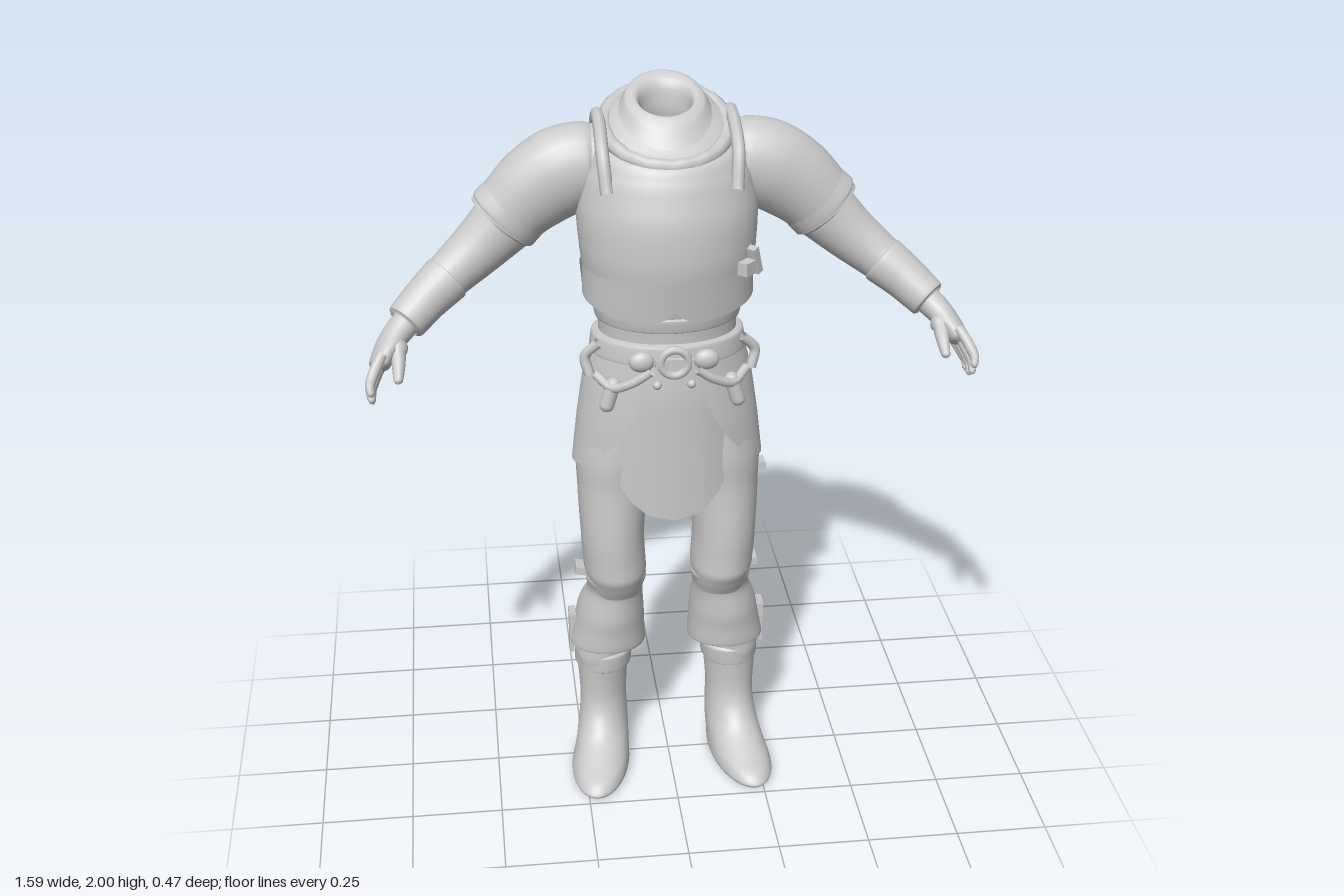
import * as THREE from 'three';

const V3 = (x, y, z) => new THREE.Vector3(x, y, z);
const lerpTable = (table, x) => {
  for (let i = 1; i < table.length; i++) {
    const [x0, a] = table[i - 1], [x1, b] = table[i];
    if (x <= x1) return a + (b - a) * Math.max(0, (x - x0) / (x1 - x0));
  }
  return table[table.length - 1][1];
};

export function createModel() {
  const model = new THREE.Group();
  const plate = new THREE.MeshStandardMaterial({ color: 0xcacaca, side: THREE.DoubleSide });
  plate.name = 'paleGrey';

  function add(name, geo, mirrored = false) {
    const mesh = new THREE.Mesh(geo, plate);
    mesh.name = mirrored ? name + 'Left' : name;
    model.add(mesh);
    if (!mirrored) return;
    const other = geo.clone().scale(-1, 1, 1);
    const idx = other.index.array;
    for (let i = 0; i < idx.length; i += 3) [idx[i], idx[i + 1]] = [idx[i + 1], idx[i]];
    const twin = new THREE.Mesh(other, plate);
    twin.name = name + 'Right';
    model.add(twin);
  }

  // Grid of points, rows x cols, optionally closed around
  function grid(rows, cols, closed, point) {
    const pos = [], idx = [], w = closed ? cols : cols + 1;
    for (let i = 0; i <= rows; i++)
      for (let j = 0; j < w; j++) pos.push(...point(i / rows, j / cols).toArray());
    for (let i = 0; i < rows; i++)
      for (let j = 0; j < cols; j++) {
        const a = i * w + j, b = i * w + (j + 1) % w;
        idx.push(a, b, a + w, b, b + w, a + w);
      }
    const g = new THREE.BufferGeometry();
    g.setAttribute('position', new THREE.Float32BufferAttribute(pos, 3));
    g.setIndex(idx);
    g.computeVertexNormals();
    return g;
  }

  // Level rings from bottom to top: [y, xc, zc, rx, rz, tilt]
  function stack(rings, splay = 0, n = 40) {
    const mid = new THREE.CatmullRomCurve3(rings.map(r => V3(r[1], r[0], r[2])));
    const size = new THREE.CatmullRomCurve3(rings.map(r => V3(r[3], r[4], r[5] || 0)));
    return grid((rings.length - 1) * 5, n, true, (t, s) => {
      const c = mid.getPoint(t), r = size.getPoint(t), a = s * Math.PI * 2;
      const dz = Math.cos(a) * r.y;
      return V3(c.x + Math.sin(a) * r.x + splay * (c.z + dz), c.y + dz * r.z, c.z + dz);
    });
  }

  // Round limb along a path: [x, y, z, radius, front radius]
  function limb(pts, n = 24) {
    const mid = new THREE.CatmullRomCurve3(pts.map(p => V3(p[0], p[1], p[2])));
    const size = new THREE.CatmullRomCurve3(pts.map(p => V3(p[3], p[4] ?? p[3], 0)));
    return grid((pts.length - 1) * 5, n, true, (t, s) => {
      const c = mid.getPoint(t), r = size.getPoint(t), T = mid.getTangent(t), a = s * Math.PI * 2;
      const v = V3(0, 0, 1).addScaledVector(T, -T.z).normalize();
      const u = T.clone().cross(v);
      return c.addScaledVector(u, Math.sin(a) * r.x).addScaledVector(v, Math.cos(a) * r.y);
    });
  }

  // Curved hanging cloth or plate; angle 0 is the front
  const sheet = (a0, a1, top, bottom, rx, rz, zc = -0.025) => grid(14, 28, false, (t, s) => {
    const a = a0 + (a1 - a0) * s, low = lerpTable(bottom, a), y = low + (top - low) * t;
    return V3(Math.sin(a) * lerpTable(rx, y), y, zc + Math.cos(a) * lerpTable(rz, y));
  });
  const box = (w, h, d, x, y, z, ry = 0, rz = 0) =>
    new THREE.BoxGeometry(w, h, d).rotateZ(rz).rotateY(ry).translate(x, y, z);
  const tube = (pts, r, closed = false) =>
    new THREE.TubeGeometry(new THREE.CatmullRomCurve3(pts.map(p => V3(...p)), closed), 48, r, 8, closed);

  // Torso: cuirass with open shoulders sloping to the collar
  add('cuirass', stack([
    [1.455, 0, -0.01, 0.195, 0.15], [1.46, 0, -0.005, 0.222, 0.167], [1.5, 0, -0.005, 0.22, 0.175],
    [1.58, 0, -0.01, 0.23, 0.19], [1.68, 0, -0.025, 0.236, 0.2], [1.78, 0, -0.04, 0.222, 0.188],
    [1.85, 0, -0.045, 0.195, 0.17, -0.15], [1.9, 0, -0.055, 0.155, 0.14, -0.38],
    [1.925, 0, -0.06, 0.12, 0.12, -0.45],
  ]));
  // Pointed lower edge of the breastplate
  const lipLow = [[-1.6, 1.46], [-0.32, 1.425], [-0.16, 1.43], [0, 1.46], [0.16, 1.43], [0.32, 1.425], [1.6, 1.46]];
  add('breastplateRim', sheet(-1.6, 1.6, 1.54, lipLow, [[1.42, 0.224], [1.46, 0.225], [1.54, 0.224]],
    [[1.42, 0.166], [1.47, 0.173], [1.54, 0.183]], -0.003));
  add('backplateRim', sheet(1.6, 4.68, 1.54, [[1.6, 1.46], [3.14, 1.5], [4.68, 1.46]],
    [[1.46, 0.223], [1.54, 0.23]], [[1.46, 0.176], [1.54, 0.189]], -0.01));
  add('collar', stack([
    [1.9, 0, -0.05, 0.135, 0.135, -0.42], [1.93, 0, -0.06, 0.116, 0.118, -0.45],
    [1.955, 0, -0.065, 0.102, 0.1, -0.45], [1.964, 0, -0.068, 0.085, 0.084, -0.43],
    [1.955, 0, -0.06, 0.072, 0.07, -0.42], [1.9, 0, -0.05, 0.066, 0.064, -0.3], [1.84, 0, -0.05, 0.06, 0.06],
    [1.83, 0, -0.05, 0.001, 0.001],
  ]));
  const roll = [];
  for (let i = 0; i < 32; i++) {
    const a = i * Math.PI / 16, dz = Math.cos(a) * 0.148, puff = 0.003 * (i % 2);
    roll.push([Math.sin(a) * 0.158, 1.888 - dz * 0.42 + puff, -0.045 + dz]);
  }
  add('neckRoll', tube(roll, 0.02, true));
  add('shoulderStrap', tube([[0.165, 1.76, 0.1], [0.172, 1.85, 0.06], [0.172, 1.9, -0.02],
    [0.172, 1.91, -0.1], [0.17, 1.85, -0.17], [0.165, 1.75, -0.195]], 0.017), true);
  add('sideBuckle', box(0.04, 0.035, 0.03, 0.19, 1.555, 0.115, 0.8));
  add('sideBuckleStrap', box(0.02, 0.075, 0.03, 0.213, 1.565, 0.085, 0.8, 0.3));

  // Waist, belts and hips
  add('waist', stack([
    [1.28, 0, -0.02, 0.195, 0.15], [1.34, 0, -0.02, 0.184, 0.148], [1.4, 0, -0.018, 0.185, 0.15],
    [1.44, 0, -0.015, 0.198, 0.155], [1.48, 0, -0.01, 0.205, 0.16],
  ]));
  add('waistBand', stack([[1.385, 0, -0.018, 0.182, 0.146], [1.39, 0, -0.018, 0.192, 0.156],
    [1.425, 0, -0.016, 0.198, 0.16], [1.43, 0, -0.016, 0.19, 0.15]]));
  add('belt', stack([[1.29, 0, -0.02, 0.19, 0.15, 0.04], [1.295, 0, -0.02, 0.21, 0.168, 0.04],
    [1.345, 0, -0.02, 0.202, 0.164, 0.04], [1.35, 0, -0.02, 0.18, 0.148, 0.04]]));
  add('hips', stack([[0.98, 0, -0.02, 0.001, 0.001], [1.0, 0, -0.02, 0.12, 0.09], [1.08, 0, -0.02, 0.2, 0.135],
    [1.2, 0, -0.025, 0.208, 0.152], [1.31, 0, -0.02, 0.192, 0.15]]));
  add('beltBuckle', new THREE.TorusGeometry(0.036, 0.011, 10, 28).translate(0, 1.315, 0.155));
  add('buckleBar', box(0.1, 0.022, 0.014, 0, 1.315, 0.155));
  add('beltKnot', new THREE.SphereGeometry(0.028, 16, 12).scale(1.2, 1, 0.7).translate(0.085, 1.315, 0.14), true);
  add('beltStud', new THREE.SphereGeometry(0.012, 12, 8).translate(0.045, 1.25, 0.148), true);
  add('beltLoop', box(0.03, 0.11, 0.02, 0.03, 1.36, -0.188));
  add('hangingStrap', tube([[0.06, 1.29, 0.148], [0.11, 1.255, 0.138], [0.16, 1.235, 0.115], [0.2, 1.26, 0.08]], 0.013), true);
  add('hipLoop', tube([[0.19, 1.34, 0.06], [0.225, 1.3, 0.05], [0.215, 1.25, 0.06]], 0.014), true);
  add('hipPouch', new THREE.CapsuleGeometry(0.02, 0.06, 6, 14).rotateZ(0.3).translate(0.165, 1.21, 0.105), true);

  // Hanging tabards and side tassets
  const skirtX = [[0.84, 0.235], [1.0, 0.225], [1.2, 0.212], [1.31, 0.2]];
  const skirtZ = [[0.84, 0.162], [1.0, 0.165], [1.2, 0.168], [1.31, 0.16]];
  add('frontTabard', sheet(-1, 1, 1.3, [[-1, 1.06], [-0.8, 0.98], [-0.55, 0.9], [-0.3, 0.855], [0, 0.84],
    [0.3, 0.855], [0.55, 0.9], [0.8, 0.98], [1, 1.06]], skirtX, skirtZ));
  const P = Math.PI;
  add('backTabard', sheet(P - 1.05, P + 1.05, 1.32, [[P - 1.05, 1.08], [P - 0.8, 0.98], [P - 0.5, 0.9],
    [P - 0.25, 0.87], [P, 0.86], [P + 0.25, 0.87], [P + 0.5, 0.9], [P + 0.8, 0.98], [P + 1.05, 1.08]], skirtX, skirtZ));
  add('tasset', sheet(0.3, 2.5, 1.3, [[0.3, 1.26], [0.42, 1.16], [0.6, 1.08], [0.85, 1.015], [1.15, 0.975],
    [1.6, 0.965], [2.05, 0.965], [2.25, 1.04], [2.5, 1.14]],
  [[0.96, 0.262], [1.1, 0.246], [1.22, 0.228], [1.3, 0.208]], [[0.96, 0.168], [1.1, 0.175], [1.3, 0.168]]), true);

  // Legs
  add('thigh', stack([
    [0.56, 0.147, 0.005, 0.07, 0.07], [0.6, 0.147, 0.01, 0.077, 0.086], [0.64, 0.15, 0.002, 0.087, 0.108],
    [0.75, 0.156, 0.002, 0.088, 0.108], [0.9, 0.15, -0.01, 0.1, 0.112], [1.0, 0.138, -0.015, 0.112, 0.122],
    [1.15, 0.12, -0.02, 0.1, 0.12],
  ]), true);
  add('kneeGuard', stack([
    [0.39, 0.17, -0.05, 0.085, 0.085], [0.36, 0.17, -0.05, 0.1, 0.1, 0.1], [0.365, 0.17, -0.05, 0.108, 0.11, 0.1],
    [0.42, 0.166, -0.045, 0.102, 0.11, 0.08], [0.5, 0.16, -0.036, 0.092, 0.108], [0.57, 0.15, -0.01, 0.079, 0.085],
    [0.61, 0.148, 0.005, 0.085, 0.09], [0.625, 0.148, 0.005, 0.076, 0.08],
  ]), true);
  add('kneeStrap', box(0.012, 0.13, 0.04, 0.274, 0.395, -0.055), true);
  add('kneeBuckle', box(0.02, 0.035, 0.055, 0.27, 0.44, -0.055), true);
  add('upperStrapTab', box(0.05, 0.022, 0.045, 0.252, 0.905, -0.05));
  add('lowerStrapTab', box(0.05, 0.022, 0.05, 0.235, 0.6, -0.05, 0, 0.2), true);

  // Boots with toes turned slightly out
  add('boot', stack([
    [0, 0.197, 0.05, 0.001, 0.001], [0.001, 0.197, 0.05, 0.078, 0.178], [0.012, 0.197, 0.052, 0.083, 0.186],
    [0.035, 0.195, 0.04, 0.08, 0.176], [0.06, 0.193, 0.01, 0.076, 0.148], [0.1, 0.192, -0.028, 0.072, 0.11],
    [0.15, 0.191, -0.044, 0.068, 0.085], [0.2, 0.191, -0.048, 0.067, 0.075], [0.3, 0.191, -0.058, 0.074, 0.088],
    [0.34, 0.189, -0.058, 0.08, 0.093], [0.4, 0.18, -0.055, 0.08, 0.09],
  ], 0.12), true);
  add('bootCuff', stack([[0.29, 0.184, -0.06, 0.074, 0.086], [0.295, 0.184, -0.06, 0.081, 0.094],
    [0.34, 0.182, -0.058, 0.083, 0.095], [0.35, 0.182, -0.058, 0.076, 0.09]]), true);

  // Arms
  add('sleeve', limb([
    [0.14, 1.79, -0.07, 0.1, 0.085], [0.24, 1.775, -0.07, 0.112, 0.09], [0.33, 1.73, -0.068, 0.102, 0.08],
    [0.41, 1.65, -0.066, 0.088, 0.074], [0.49, 1.575, -0.055, 0.074, 0.07], [0.56, 1.52, -0.03, 0.064, 0.062],
    [0.62, 1.475, 0.005, 0.056, 0.055], [0.68, 1.425, 0.045, 0.046, 0.046],
  ]), true);
  add('pauldron', limb([
    [0.19, 1.79, -0.07, 0.09, 0.075], [0.2, 1.79, -0.07, 0.108, 0.092], [0.27, 1.768, -0.07, 0.118, 0.097],
    [0.34, 1.725, -0.068, 0.112, 0.09], [0.4, 1.67, -0.066, 0.1, 0.082], [0.425, 1.64, -0.065, 0.1, 0.08],
    [0.42, 1.645, -0.065, 0.084, 0.07],
  ].slice(0, 6)), true);
  add('pauldronFlange', limb([[0.38, 1.69, -0.067, 0.1, 0.083], [0.42, 1.65, -0.066, 0.103, 0.082],
    [0.43, 1.64, -0.066, 0.09, 0.074]]), true);
  add('bracer', limb([[0.57, 1.512, -0.024, 0.05, 0.05], [0.575, 1.508, -0.021, 0.066, 0.064],
    [0.63, 1.467, 0.012, 0.06, 0.058], [0.685, 1.42, 0.05, 0.054, 0.054], [0.69, 1.416, 0.054, 0.042, 0.042]]), true);

  // Hands: palm, four fingers and a thumb
  add('palm', limb([[0.67, 1.43, 0.04, 0.038, 0.036], [0.705, 1.4, 0.065, 0.036, 0.04], [0.738, 1.365, 0.095, 0.03, 0.052],
    [0.757, 1.335, 0.125, 0.026, 0.05], [0.765, 1.32, 0.138, 0.004, 0.02]]), true);
  for (let i = 0; i < 4; i++) {
    const k = i / 3 - 0.5, dy = k * 0.05, dz = k * 0.072, reach = [0.82, 0.97, 1, 0.9][i];
    add('finger' + (i + 1), limb([[0.748, 1.35 + dy, 0.115 + dz, 0.014],
      [0.77, 1.35 + dy - 0.04 * reach, 0.115 + dz + 0.035 * reach, 0.0145],
      [0.781, 1.35 + dy - 0.07 * reach, 0.115 + dz + 0.058 * reach, 0.0125],
      [0.778, 1.35 + dy - 0.09 * reach, 0.115 + dz + 0.072 * reach, 0.009],
      [0.775, 1.35 + dy - 0.096 * reach, 0.115 + dz + 0.075 * reach, 0.0005]], 12), true);
  }
  add('thumb', limb([[0.712, 1.39, 0.085, 0.02], [0.708, 1.362, 0.125, 0.02], [0.708, 1.335, 0.16, 0.016],
    [0.71, 1.312, 0.185, 0.011], [0.71, 1.307, 0.19, 0.0005]], 12), true);

  return model;
}
